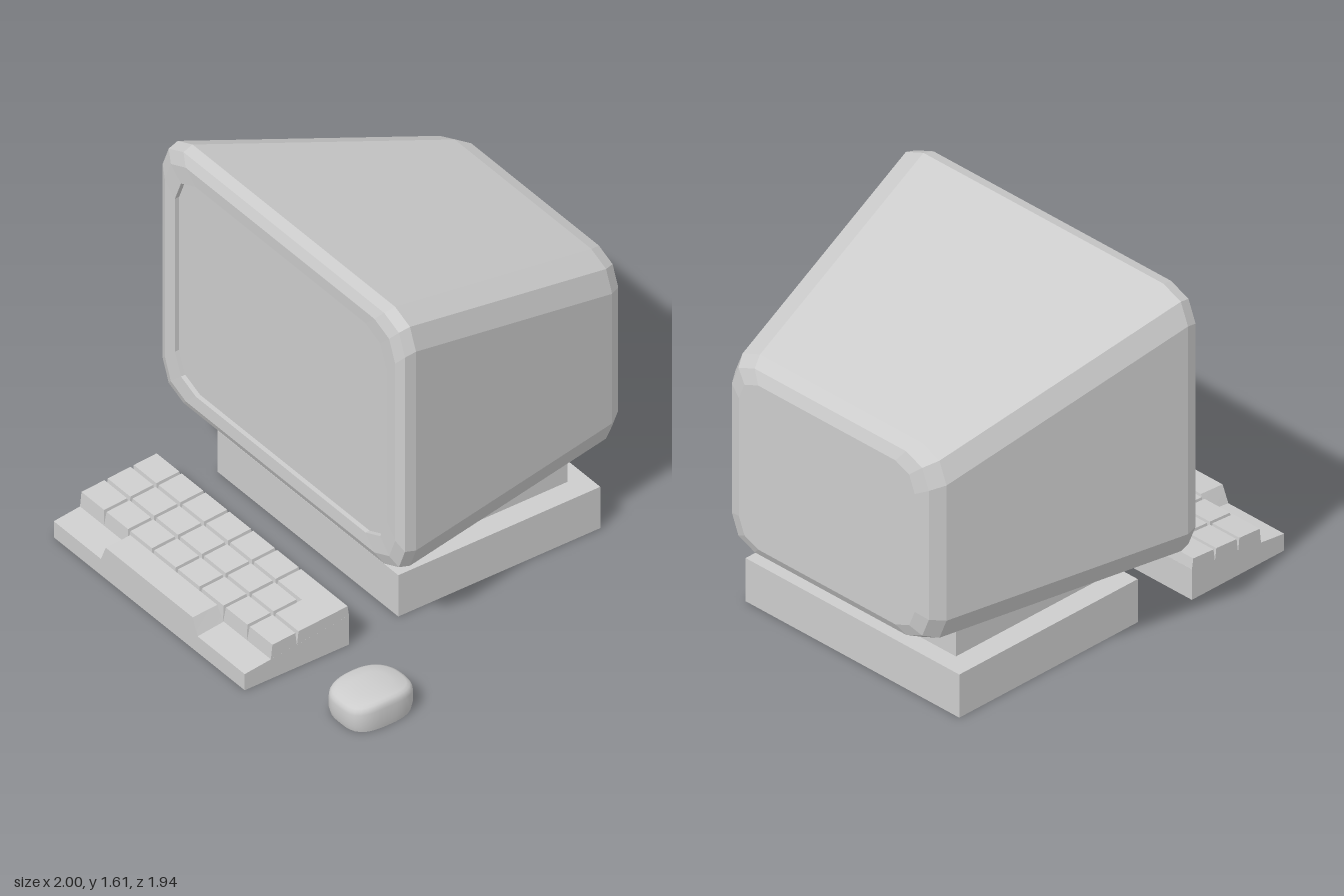
import * as THREE from 'three';
import { toCreasedNormals } from 'three/addons/utils/BufferGeometryUtils.js';

const CX = -0.178; // centre line of the monitor

export function createModel() {
  const grey = new THREE.MeshStandardMaterial({ color: 0xcccccc });
  grey.name = 'plain grey';
  const root = new THREE.Group();
  root.name = 'desktopComputer';

  const add = (name, geometry, parent = root) => {
    const mesh = new THREE.Mesh(geometry, grey);
    mesh.name = name;
    parent.add(mesh);
    return mesh;
  };

  // Box given by its limits
  const block = (name, x0, x1, y0, y1, z0, z1) => {
    const g = new THREE.BoxGeometry(x1 - x0, y1 - y0, z1 - z0);
    g.translate((x0 + x1) / 2, (y0 + y1) / 2, (z0 + z1) / 2);
    add(name, g);
  };

  // Rectangle with two-step cut corners, counter-clockwise from the front
  const section = ([z, hw, y0, y1, c]) => {
    const m = c * 0.29, hh = (y1 - y0) / 2, cy = (y0 + y1) / 2;
    const corner = [[0, c], [m, m], [c, 0]];
    const ring = [];
    for (const [sx, sy] of [[1, 1], [-1, 1], [-1, -1], [1, -1]]) {
      const steps = sx * sy > 0 ? corner : [...corner].reverse();
      for (const [dx, dy] of steps) ring.push([CX + sx * (hw - dx), cy + sy * (hh - dy), z]);
    }
    return ring;
  };

  // Closed flat-shaded skin through sections running front to back
  const loft = (rings) => {
    const n = rings[0].length, pos = [];
    const tri = (a, b, c) => pos.push(...a, ...b, ...c);
    const first = rings[0], last = rings[rings.length - 1];
    for (let j = 1; j < n - 1; j++) {
      tri(first[0], first[j], first[j + 1]);
      tri(last[0], last[j + 1], last[j]);
    }
    for (let i = 0; i < rings.length - 1; i++) {
      for (let j = 0; j < n; j++) {
        const k = (j + 1) % n;
        const a = rings[i][j], b = rings[i][k], c = rings[i + 1][k], d = rings[i + 1][j];
        tri(a, d, b);
        tri(b, d, c);
      }
    }
    const g = new THREE.BufferGeometry();
    g.setAttribute('position', new THREE.Float32BufferAttribute(pos, 3));
    g.computeVertexNormals();
    return g;
  };

  // Monitor: recessed screen, bezel, tapering case. [z, half width, bottom, top, corner]
  add('monitorCase', loft([
    [0.295, 0.711, 0.455, 1.495, 0.14],
    [0.316, 0.711, 0.455, 1.495, 0.14],
    [0.319, 0.775, 0.395, 1.555, 0.14],
    [0.30, 0.815, 0.355, 1.60, 0.14],
    [0.25, 0.822, 0.345, 1.612, 0.14],
    [-0.89, 0.60, 0.347, 1.27, 0.14],
    [-0.95, 0.56, 0.37, 1.243, 0.13],
    [-0.97, 0.50, 0.41, 1.19, 0.11],
  ].map(section)));

  // Stand
  block('standNeck', -0.68, 0.325, 0.2, 0.42, -0.74, 0.10);
  block('standBase', -0.785, 0.43, 0, 0.205, -0.825, 0.18);

  // Keyboard
  const keyboard = new THREE.Group();
  keyboard.name = 'keyboard';
  root.add(keyboard);
  const deckY = (z) => 0.08 + 0.125 * (0.97 - z);
  const keyY = (z) => 0.155 + 0.075 * (0.97 - z);

  // Box with sloping top whose upper edges are pulled in per side
  const wedge = (name, x0, x1, z0, z1, bottom, top, [l, r, b, f]) => {
    const g = new THREE.BoxGeometry(1, 1, 1);
    const p = g.attributes.position;
    for (let i = 0; i < p.count; i++) {
      const up = p.getY(i) > 0 ? 1 : 0;
      const x = p.getX(i) < 0 ? x0 + l * up : x1 - r * up;
      const z = p.getZ(i) < 0 ? z0 + b * up : z1 - f * up;
      p.setXYZ(i, x, up ? top(z) : bottom(z), z);
    }
    g.computeVertexNormals();
    add(name, g, keyboard);
  };

  wedge('keyboardDeck', -0.82, 0.465, 0.45, 0.97, () => 0, deckY, [0, 0, 0, 0]);
  const t = 0.008;
  const keyBottom = (z) => deckY(z) - 0.005;
  const key = (name, x0, x1, z0, z1, taper) => wedge(name, x0, x1, z0, z1, keyBottom, keyY, taper);
  const colX = (c) => -0.82 + c * 0.1606;
  const rows = [[0.45, 0.58, 6], [0.58, 0.71, 7], [0.71, 0.84, 8]];
  for (const [z0, z1, count] of rows) {
    for (let c = 0; c < count; c++) {
      const taper = [c === 0 ? 0 : t, c === 7 ? 0 : t, t, t];
      key('key', colX(c), colX(c + 1), z0, z1, taper);
    }
  }
  // L-shaped key in two joined pieces, and the space bar
  key('cornerKeyBack', colX(6), colX(7) + 0.02, 0.45, 0.58, [t, 0, t, t]);
  key('cornerKeySide', colX(7), colX(8), 0.45, 0.71, [t, 0, t, t]);
  key('spaceBar', -0.505, 0.15, 0.84, 0.97, [0.035, 0.035, t, 0]);

  // Mouse: turned profile pushed out to a rounded, slightly egg-shaped plan
  const profile = [[0, 0], [0.96, 0], [1, 0.03], [1, 0.095], [0.98, 0.11], [0.93, 0.122],
    [0.84, 0.128], [0.5, 0.13], [0, 0.13]].map(([r, y]) => new THREE.Vector2(r, y));
  const mouse = new THREE.LatheGeometry(profile, 40);
  const p = mouse.attributes.position;
  for (let i = 0; i < p.count; i++) {
    const x = p.getX(i), z = p.getZ(i), r = Math.hypot(x, z);
    if (r < 1e-6) { p.setXYZ(i, 0, p.getY(i), 0); continue; }
    const cx = x / r, cz = z / r;
    const e = cz > 0 ? 3.2 : 2.5;
    const k = r / Math.pow(Math.abs(cx) ** e + Math.abs(cz) ** e, 1 / e);
    const nz = cz * k;
    p.setXYZ(i, cx * k * 0.132, p.getY(i) * (1 - 0.16 * nz * nz), nz * 0.166);
  }
  mouse.deleteAttribute('normal');
  mouse.deleteAttribute('uv');
  add('mouse', toCreasedNormals(mouse, 0.8)).position.set(0.868, 0, 0.635);

  return root;
}
